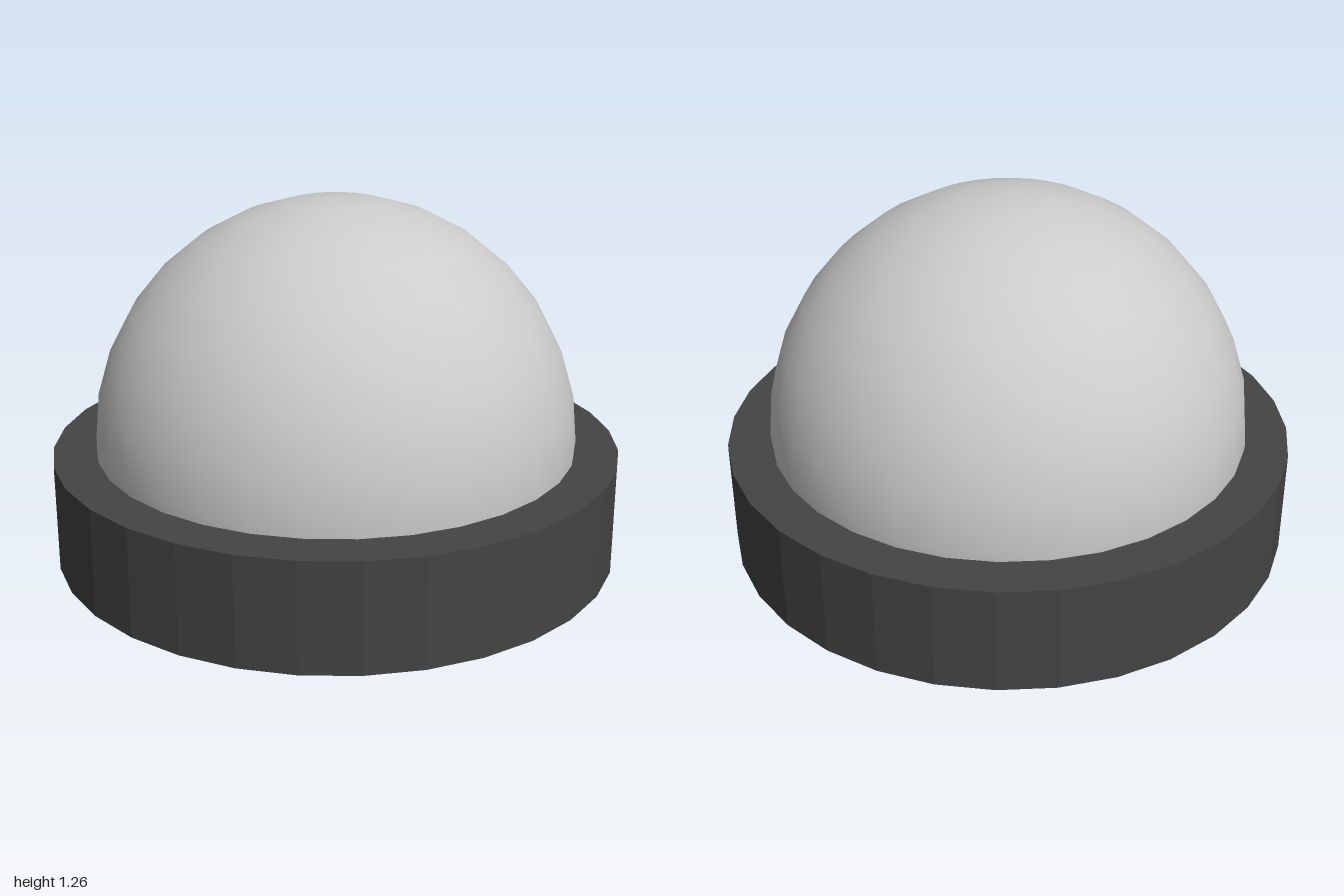
import * as THREE from 'three';

export function createModel() {
  const model = new THREE.Group();
  const SIDES = 32;
  const BASE_HEIGHT = 0.38;

  // Faceted dark base disc
  const base = new THREE.Mesh(
    new THREE.CylinderGeometry(1, 1, BASE_HEIGHT, SIDES),
    new THREE.MeshStandardMaterial({ color: 0x444444, flatShading: true })
  );
  base.name = 'base';
  base.position.y = BASE_HEIGHT / 2;
  model.add(base);

  // Smooth dome, running one ring past its equator so it sinks into the base
  const rings = 9;
  const dome = new THREE.Mesh(
    new THREE.SphereGeometry(0.85, SIDES, rings, 0, Math.PI * 2, 0, (rings * Math.PI) / 16),
    new THREE.MeshStandardMaterial({ color: 0xcccccc, side: THREE.DoubleSide })
  );
  dome.name = 'dome';
  dome.position.y = 0.41;
  model.add(dome);

  return model;
}
